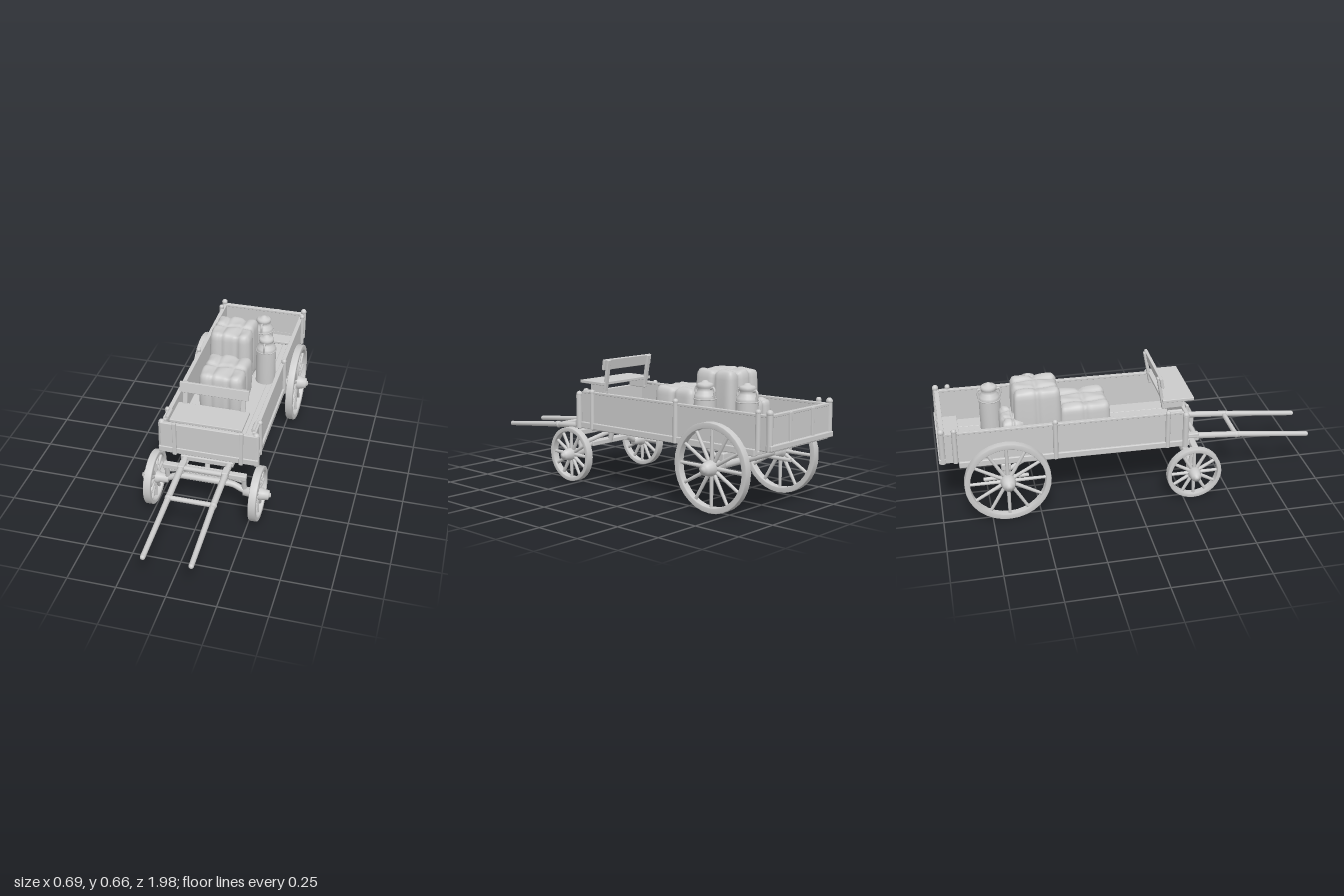
import * as THREE from 'three';
import { RoundedBoxGeometry } from 'three/addons/geometries/RoundedBoxGeometry.js';
import { mergeVertices } from 'three/addons/utils/BufferGeometryUtils.js';

const mat = new THREE.MeshStandardMaterial({ color: 0xcccccc, roughness: 0.85 });

function add(parent, name, geo, x = 0, y = 0, z = 0) {
  const m = new THREE.Mesh(geo, mat);
  m.name = name;
  m.position.set(x, y, z);
  parent.add(m);
  return m;
}

// Timber with softened edges
const beam = (parent, name, w, h, d, x, y, z) =>
  add(parent, name, new RoundedBoxGeometry(w, h, d, 2, Math.min(w, h, d) * 0.18), x, y, z);

// Tapered round bar between two points
function rod(parent, name, a, b, r0, r1 = r0) {
  const A = new THREE.Vector3(...a), B = new THREE.Vector3(...b);
  const m = add(parent, name, new THREE.CylinderGeometry(r1, r0, A.distanceTo(B), 10));
  m.position.copy(A).add(B).multiplyScalar(0.5);
  m.quaternion.setFromUnitVectors(new THREE.Vector3(0, 1, 0), B.sub(A).normalize());
  return m;
}

// Bent round bar through several points
const bentBar = (parent, name, pts, r) => add(parent, name, new THREE.TubeGeometry(
  new THREE.CatmullRomCurve3(pts.map(p => new THREE.Vector3(...p)), false, 'catmullrom', 0.3), 24, r, 8));

const lathe = (pts, seg) => new THREE.LatheGeometry(pts.map(p => new THREE.Vector2(...p)), seg);

// Spoked wheel, built with its axle along y and the outside facing +y
function wheel(name, radius, rim, spokes, hub) {
  const g = new THREE.Group();
  g.name = name;
  const i = radius - rim, h = 0.02, c = 0.003;
  add(g, 'rim', lathe([[i, -h + c], [i + c, -h], [radius - c, -h], [radius, -h + c],
    [radius, h - c], [radius - c, h], [i + c, h], [i, h - c], [i, -h + c]], 32));
  add(g, 'hub', lathe([[0, -0.075], [hub * 0.7, -0.075], [hub * 0.8, -0.03], [hub, -0.022], [hub, 0.022],
    [hub * 0.9, 0.03], [hub * 0.74, 0.058], [hub * 0.4, 0.06], [hub * 0.34, 0.068], [0, 0.07]], 16));
  for (let k = 0; k < spokes; k++) {
    const a = (k / spokes) * Math.PI * 2, s = Math.sin(a), q = Math.cos(a);
    rod(g, 'spoke', [s * hub * 0.8, 0, q * hub * 0.8], [s * (i + 0.005), 0, q * (i + 0.005)], 0.01, 0.008);
  }
  return g;
}

// Soft tied bundle: rounded cloth block pinched along two straps and a cross strap
function bundle(parent, name, w, h, d, x, y, z) {
  let geo = new THREE.BoxGeometry(w, h, d, 24, 16, 24);
  geo.deleteAttribute('uv');
  geo.deleteAttribute('normal');
  geo = mergeVertices(geo);
  const p = geo.attributes.position, r = 0.028;
  const half = new THREE.Vector3(w / 2 - r, h / 2 - r, d / 2 - r);
  const low = half.clone().negate(), v = new THREE.Vector3(), core = new THREE.Vector3();
  const dip = t => Math.exp(-((t / 0.05) ** 2));
  for (let k = 0; k < p.count; k++) {
    v.fromBufferAttribute(p, k);
    const u = v.x / w, t = v.z / d;
    core.copy(v).clamp(low, half);
    const pinch = Math.max(dip(u - 0.2), dip(u + 0.2), dip(t));
    const swell = 0.006 * Math.cos(v.y / h * Math.PI) + 0.003 * Math.sin(11 * u + 9 * t);
    v.sub(core).setLength(r + swell - 0.011 * pinch).add(core);
    p.setXYZ(k, v.x, v.y, v.z);
  }
  geo.computeVertexNormals();
  add(parent, name, geo, x, y, z);
}

// Metal can with sloping shoulder, lid and two loop handles
function milkCan(parent, x, z) {
  const g = new THREE.Group();
  g.name = 'milkCan';
  g.position.set(x, 0.315, z);
  add(g, 'canBody', lathe([[0, 0], [0.05, 0], [0.055, 0.006], [0.055, 0.21], [0.052, 0.224], [0.038, 0.242],
    [0.034, 0.256], [0.041, 0.26], [0.042, 0.274], [0.035, 0.28], [0.018, 0.285], [0.012, 0.293], [0, 0.295]], 20));
  add(g, 'canBand', new THREE.TorusGeometry(0.055, 0.004, 6, 20), 0, 0.205, 0).rotation.x = Math.PI / 2;
  for (const s of [-1, 1])
    bentBar(g, 'canHandle', [[0, 0.255, s * 0.034], [0, 0.262, s * 0.052], [0, 0.245, s * 0.06], [0, 0.21, s * 0.053]], 0.006);
  parent.add(g);
}

function buildBed(root) {
  const bed = new THREE.Group();
  bed.name = 'wagonBed';
  bed.position.x = 0.01;
  bed.rotation.x = 0.012;
  root.add(bed);
  // Floor planks, raised under the tail
  for (let k = 0; k < 5; k++) beam(bed, 'floorPlank', 0.0935, 0.016, 1.15, (k - 2) * 0.093, 0.307, -0.32);
  beam(bed, 'tailFloor', 0.46, 0.016, 0.1, 0, 0.33, -0.93);
  for (const s of [-1, 1]) {
    beam(bed, 'sidePanel', 0.018, 0.19, 1.15, s * 0.233, 0.397, -0.325);
    beam(bed, 'tailSidePanel', 0.018, 0.165, 0.1, s * 0.233, 0.41, -0.93);
    beam(bed, 'sideSill', 0.026, 0.034, 1.15, s * 0.24, 0.315, -0.325);
    beam(bed, 'sideTopRail', 0.022, 0.012, 1.2, s * 0.234, 0.49, -0.36);
    beam(bed, 'floorRunner', 0.05, 0.022, 1.05, s * 0.12, 0.292, -0.32);
    // Side stakes with rounded heads
    for (const [z, y0, y1] of [[0.165, 0.3, 0.495], [-0.415, 0.3, 0.505], [-0.915, 0.33, 0.505]]) {
      rod(bed, 'sideStake', [s * 0.246, y0, z], [s * 0.243, y1, z], 0.013);
      add(bed, 'stakeHead', new THREE.SphereGeometry(0.014, 10, 8), s * 0.243, y1, z);
    }
    // Corner posts and latches
    rod(bed, 'frontCornerPost', [s * 0.251, 0.298, 0.258], [s * 0.249, 0.475, 0.258], 0.016);
    rod(bed, 'rearCornerPost', [s * 0.24, 0.33, -0.978], [s * 0.24, 0.505, -0.978], 0.015);
    for (const [x, y, z] of [[0.247, 0.478, 0.258], [0.24, 0.505, -0.978]])
      add(bed, 'cornerKnob', new THREE.SphereGeometry(0.017, 10, 8), s * x, y, z);
    rod(bed, 'cornerLatch', [s * 0.226, 0.494, 0.24], [s * 0.226, 0.494, 0.165], 0.01);
    // Front and tail battens
    beam(bed, 'frontBatten', 0.02, 0.195, 0.016, s * 0.175, 0.4, 0.281);
    beam(bed, 'tailBatten', 0.02, 0.16, 0.014, s * 0.09, 0.415, -0.984);
  }
  beam(bed, 'frontBoard', 0.505, 0.18, 0.02, 0, 0.394, 0.265);
  beam(bed, 'frontSill', 0.525, 0.035, 0.026, 0, 0.323, 0.267);
  beam(bed, 'tailGate', 0.47, 0.165, 0.018, 0, 0.408, -0.972);
  beam(bed, 'tailSill', 0.505, 0.028, 0.035, 0, 0.345, -0.98);
  beam(bed, 'tailTopRail', 0.48, 0.014, 0.024, 0, 0.49, -0.973);
  for (const z of [-0.66, 0.165]) beam(bed, 'floorCrossBearer', 0.46, 0.018, 0.04, 0, 0.296, z);
}

function buildSeat(root) {
  const seat = new THREE.Group();
  seat.name = 'driverSeat';
  seat.position.x = 0.01;
  root.add(seat);
  beam(seat, 'seatBoard', 0.375, 0.016, 0.165, 0, 0.531, 0.238);
  const rest = beam(seat, 'backRest', 0.36, 0.056, 0.016, 0, 0.632, 0.152);
  rest.rotation.x = -0.17;
  for (const s of [-1, 1]) {
    const post = beam(seat, 'backRestPost', 0.024, 0.18, 0.016, s * 0.152, 0.567, 0.152);
    post.rotation.x = -0.17;
    beam(seat, 'seatBracket', 0.022, 0.05, 0.11, s * 0.15, 0.502, 0.212);
  }
}

function buildUndercarriage(root) {
  const under = new THREE.Group();
  under.name = 'undercarriage';
  under.position.x = 0.005;
  root.add(under);
  // Front axle, bolster and pivot
  bentBar(under, 'frontAxle', [[-0.25, 0.15, 0.305], [-0.2, 0.157, 0.305], [-0.14, 0.184, 0.305], [0, 0.186, 0.305],
    [0.14, 0.184, 0.305], [0.2, 0.157, 0.305], [0.25, 0.15, 0.305]], 0.017);
  beam(under, 'frontAxleBeam', 0.27, 0.026, 0.035, 0, 0.184, 0.3);
  bentBar(under, 'frontSpringBar', [[-0.2, 0.2, 0.29], [-0.13, 0.212, 0.29], [0, 0.232, 0.29], [0.13, 0.212, 0.29], [0.2, 0.2, 0.29]], 0.013);
  beam(under, 'frontBolster', 0.44, 0.03, 0.034, 0, 0.254, 0.325);
  beam(under, 'turntable', 0.28, 0.03, 0.1, 0, 0.283, 0.235);
  rod(under, 'kingPin', [0, 0.18, 0.29], [0, 0.29, 0.26], 0.014);
  // Rear axle, bolster and braces
  rod(under, 'rearAxle', [-0.26, 0.225, -0.663], [0.26, 0.225, -0.663], 0.02);
  beam(under, 'rearBolster', 0.44, 0.04, 0.05, 0, 0.268, -0.663);
  for (const s of [-1, 1]) {
    rod(under, 'frontStrut', [s * 0.205, 0.165, 0.305], [s * 0.205, 0.252, 0.32], 0.013);
    rod(under, 'frontHound', [s * 0.11, 0.26, 0.36], [s * 0.11, 0.275, 0.14], 0.014);
    rod(under, 'rearHanger', [s * 0.19, 0.22, -0.663], [s * 0.19, 0.3, -0.663], 0.018);
    rod(under, 'rearBrace', [s * 0.2, 0.2, -0.55], [s * 0.2, 0.2, -0.78], 0.01);
    rod(under, 'rearHound', [s * 0.18, 0.225, -0.663], [s * 0.04, 0.28, -0.4], 0.012);
    // Wheels
    for (const [name, r, rim, hub, y, z] of [
      ['frontWheel', 0.145, 0.022, 0.033, 0.149, 0.305], ['rearWheel', 0.219, 0.028, 0.039, 0.224, -0.663]]) {
      const w = wheel(name, r, rim, 12, hub);
      w.position.set(s * 0.276, y, z);
      w.rotation.z = -s * Math.PI / 2;
      under.add(w);
    }
  }
}

function buildShafts(root) {
  const shafts = new THREE.Group();
  shafts.name = 'drawShafts';
  shafts.position.x = 0.005;
  root.add(shafts);
  for (const s of [-1, 1]) {
    rod(shafts, 'shaftRear', [s * 0.117, 0.28, 0.27], [s * 0.115, 0.252, 0.6], 0.017, 0.016);
    rod(shafts, 'shaftFront', [s * 0.115, 0.253, 0.59], [s * 0.118, 0.21, 0.975], 0.015, 0.013);
    add(shafts, 'shaftTip', new THREE.SphereGeometry(0.0135, 10, 8), s * 0.118, 0.21, 0.977);
    beam(shafts, 'shaftSocket', 0.034, 0.045, 0.06, s * 0.115, 0.27, 0.34);
    add(shafts, 'shaftCollar', new THREE.SphereGeometry(0.019, 10, 8), s * 0.115, 0.253, 0.58);
  }
  rod(shafts, 'shaftCrossBar', [-0.115, 0.253, 0.578], [0.115, 0.253, 0.578], 0.013);
  rod(shafts, 'shaftRearBar', [-0.115, 0.272, 0.352], [0.115, 0.272, 0.352], 0.014);
}

export function createModel() {
  const root = new THREE.Group();
  root.name = 'farmWagon';
  buildBed(root);
  buildSeat(root);
  buildUndercarriage(root);
  buildShafts(root);
  // Cargo
  const cargo = new THREE.Group();
  cargo.name = 'cargo';
  root.add(cargo);
  bundle(cargo, 'tallBundle', 0.22, 0.335, 0.23, -0.05, 0.482, -0.483);
  bundle(cargo, 'lowBundle', 0.233, 0.228, 0.25, -0.035, 0.427, -0.24);
  bundle(cargo, 'rearBundle', 0.2, 0.19, 0.11, -0.08, 0.41, -0.61);
  milkCan(cargo, 0.07, -0.705);
  milkCan(cargo, 0.133, -0.495);
  return root;
}
